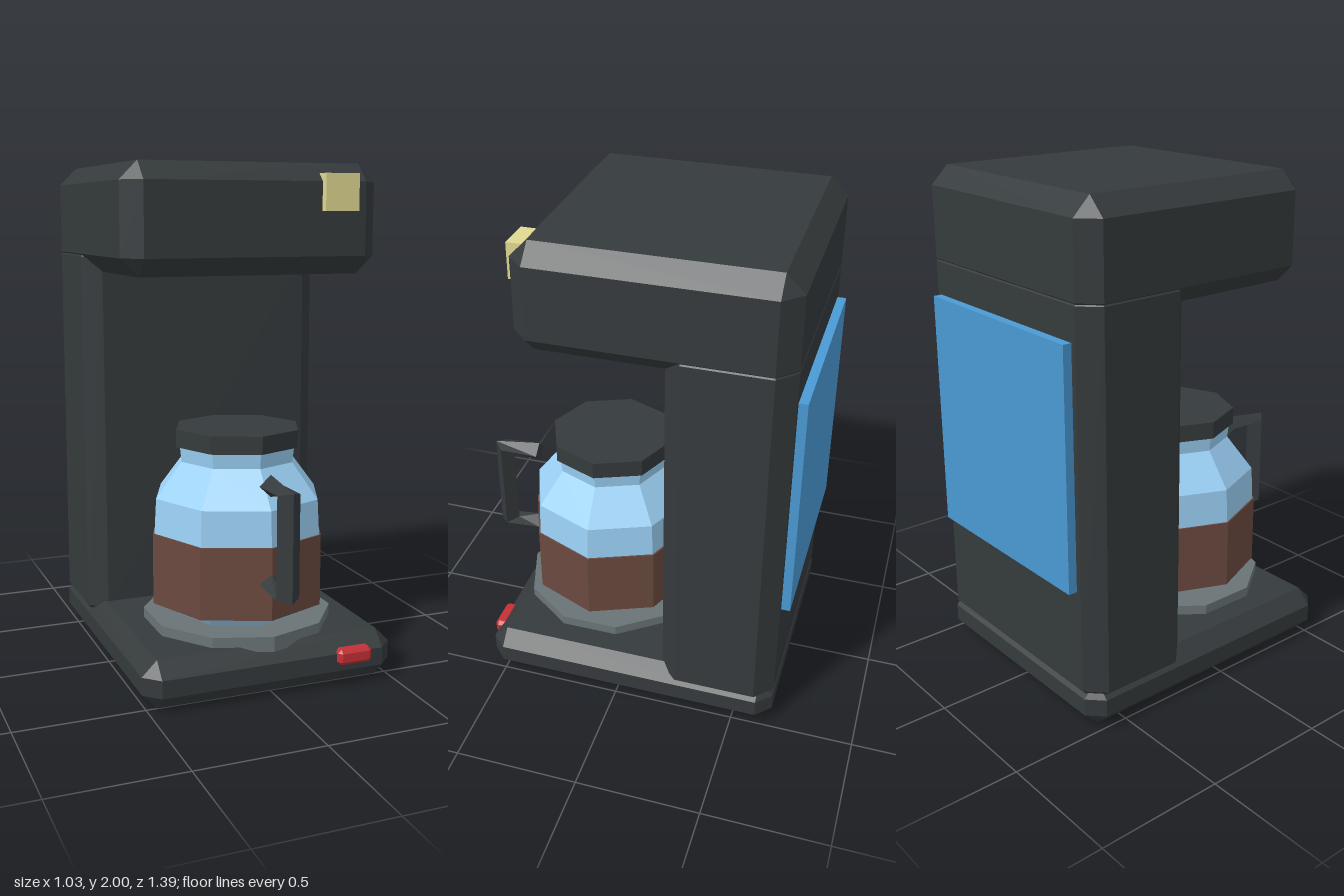
import * as THREE from 'three';
import { ConvexGeometry } from 'three/addons/geometries/ConvexGeometry.js';

const material = (color) => new THREE.MeshStandardMaterial({ color, flatShading: true });

// Box between two corners with every edge cut by c
function chamferBox([x0, y0, z0], [x1, y1, z1], c) {
  const points = [];
  for (const sx of [0, 1]) for (const sy of [0, 1]) for (const sz of [0, 1]) {
    const p = [sx ? x1 : x0, sy ? y1 : y0, sz ? z1 : z0];
    const q = [sx ? x1 - c : x0 + c, sy ? y1 - c : y0 + c, sz ? z1 - c : z0 + c];
    points.push(
      new THREE.Vector3(p[0], q[1], q[2]),
      new THREE.Vector3(q[0], p[1], q[2]),
      new THREE.Vector3(q[0], q[1], p[2]));
  }
  return new ConvexGeometry(points);
}

function plainBox([x0, y0, z0], [x1, y1, z1]) {
  return new THREE.BoxGeometry(x1 - x0, y1 - y0, z1 - z0)
    .translate((x0 + x1) / 2, (y0 + y1) / 2, (z0 + z1) / 2);
}

// Diamond cross-sections joined along a C-shaped path; each is [outer z, y, inner z, y]
function handleGeometry(sections, halfWidth) {
  const positions = [];
  const index = [];
  for (const [oz, oy, iz, iy] of sections) {
    const mz = (oz + iz) / 2, my = (oy + iy) / 2;
    positions.push(0, oy, oz, halfWidth, my, mz, 0, iy, iz, -halfWidth, my, mz);
  }
  for (let s = 0; s < sections.length - 1; s++) {
    for (let i = 0; i < 4; i++) {
      const a = s * 4 + i, b = s * 4 + (i + 1) % 4;
      index.push(a, a + 4, b, b, a + 4, b + 4);
    }
  }
  const e = (sections.length - 1) * 4;
  index.push(0, 1, 2, 0, 2, 3, e, e + 2, e + 1, e, e + 3, e + 2);
  const geometry = new THREE.BufferGeometry();
  geometry.setAttribute('position', new THREE.Float32BufferAttribute(positions, 3));
  geometry.setIndex(index);
  geometry.computeVertexNormals();
  return geometry;
}

export function createModel() {
  const model = new THREE.Group();
  const dark = material(0x353a3c);
  const add = (name, geometry, mat, parent = model) => {
    const mesh = new THREE.Mesh(geometry, mat);
    mesh.name = name;
    parent.add(mesh);
    return mesh;
  };

  // Housing
  add('base', chamferBox([-0.515, 0, -0.66], [0.515, 0.19, 0.56], 0.06), dark);
  add('column', chamferBox([-0.515, 0.09, -0.66], [0.515, 1.71, -0.19], 0.07), dark);
  add('brewHead', chamferBox([-0.515, 1.58, -0.66], [0.515, 2, 0.37], 0.07), dark);

  // Fittings
  add('waterPanel', plainBox([-0.423, 0.57, -0.695], [0.423, 1.51, -0.64]), material(0x4a9ad4));
  add('indicatorLight', plainBox([0.26, 1.82, 0.34], [0.4, 1.96, 0.4]), material(0xe0d890));
  add('powerSwitch', chamferBox([0.257, 0.087, 0.53], [0.4, 0.15, 0.585], 0.014), material(0xc43036));

  const warmer = add('warmingPlate', new THREE.CylinderGeometry(0.38, 0.38, 0.06, 10), material(0x697476));
  warmer.position.set(0, 0.2, 0.16);

  // Carafe
  const carafe = new THREE.Group();
  carafe.name = 'carafe';
  carafe.position.z = 0.16;
  model.add(carafe);

  const profile = [[0, 0.225], [0.25, 0.225], [0.3, 0.29], [0.345, 0.37], [0.35, 0.57],
    [0.342, 0.71], [0.235, 0.85], [0.243, 0.92]].map(([r, y]) => new THREE.Vector2(r, y));
  const glass = material(0x9cd2f7);
  glass.side = THREE.DoubleSide;
  add('glassJug', new THREE.LatheGeometry(profile, 8), glass, carafe);

  const coffee = add('coffee', new THREE.CylinderGeometry(0.357, 0.357, 0.285, 8), material(0x6b4a3f), carafe);
  coffee.position.y = 0.4275;
  const lid = add('lid', new THREE.CylinderGeometry(0.257, 0.257, 0.07, 8), dark, carafe);
  lid.position.y = 0.945;

  add('handle', handleGeometry([
    [0.335, 0.85, 0.335, 0.765],
    [0.538, 0.822, 0.455, 0.797],
    [0.538, 0.407, 0.455, 0.428],
    [0.342, 0.385, 0.342, 0.47],
  ], 0.046), dark, carafe);

  return model;
}
